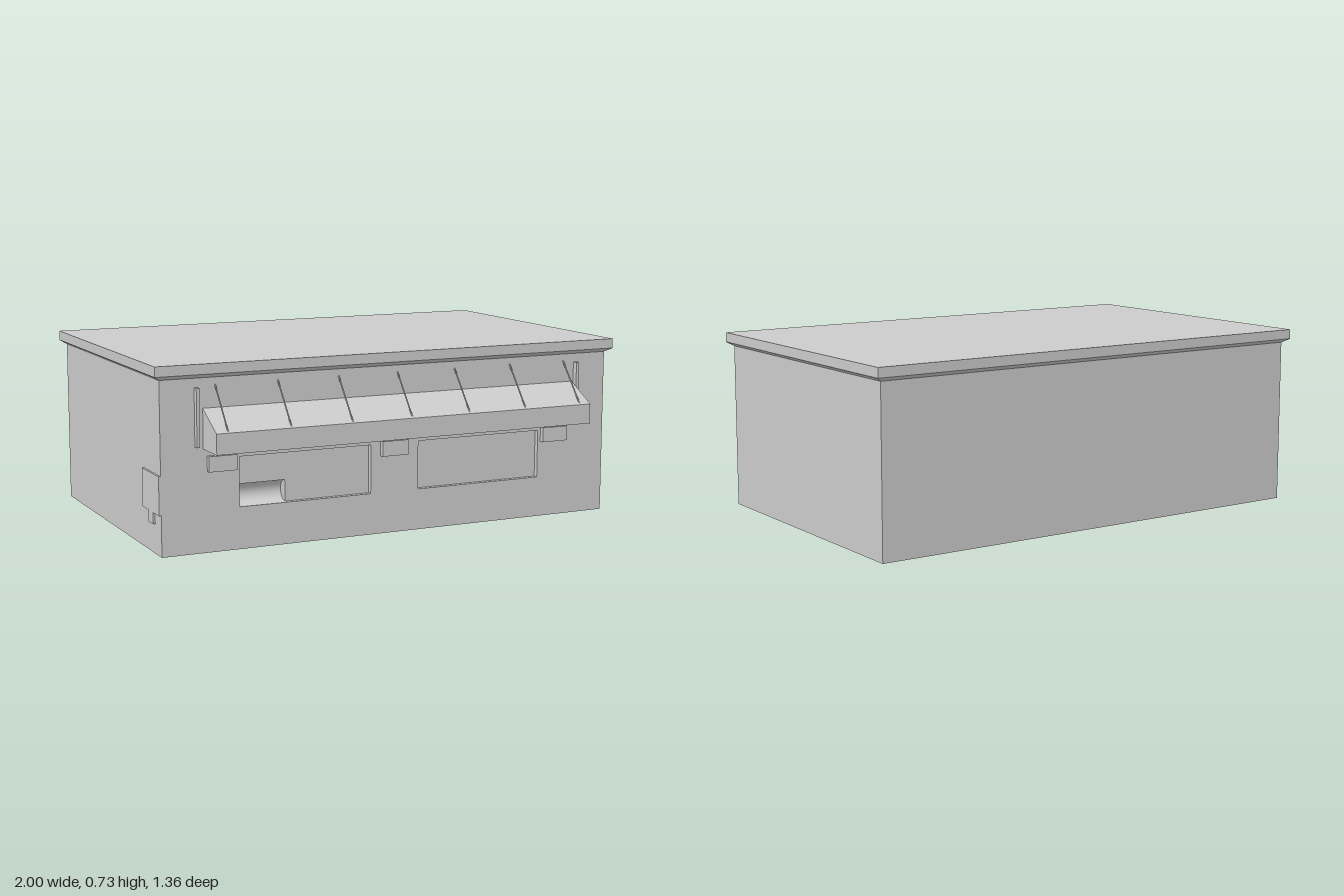
import * as THREE from 'three';

const material = new THREE.MeshStandardMaterial({ color: 0xcccccc, flatShading: true, side: THREE.DoubleSide });
const smooth = new THREE.MeshStandardMaterial({ color: 0xcccccc, side: THREE.DoubleSide });

// Main dimensions
const X = 0.975, BACK = -0.655, FRONT = 0.54, WALL_TOP = 0.67;
const RECESS = 0.02, SILL = 0.165, LINTEL = 0.36;

export function createModel() {
  const model = new THREE.Group();

  const add = (parent, name, geometry, mat = material) => {
    const mesh = new THREE.Mesh(geometry, mat);
    mesh.name = name;
    parent.add(mesh);
    return mesh;
  };

  // Box given by its limits on each axis
  const box = (parent, name, x0, x1, y0, y1, z0, z1) => {
    const mesh = add(parent, name, new THREE.BoxGeometry(x1 - x0, y1 - y0, z1 - z0));
    mesh.position.set((x0 + x1) / 2, (y0 + y1) / 2, (z0 + z1) / 2);
    return mesh;
  };

  // Open skin joining four-cornered rings
  const loft = (rings) => {
    const pos = [];
    for (let r = 0; r < rings.length - 1; r++) {
      for (let i = 0; i < 4; i++) {
        const j = (i + 1) % 4;
        const [a, b, c, d] = [rings[r][i], rings[r][j], rings[r + 1][j], rings[r + 1][i]];
        pos.push(...a, ...b, ...c, ...a, ...c, ...d);
      }
    }
    const g = new THREE.BufferGeometry();
    g.setAttribute('position', new THREE.Float32BufferAttribute(pos, 3));
    g.computeVertexNormals();
    return g;
  };

  const polygon = (points) => new THREE.Shape(points.map(([x, y]) => new THREE.Vector2(x, y)));
  const rect = (x0, x1, y0, y1) => [[x0, y0], [x1, y0], [x1, y1], [x0, y1]];

  // Hollow walls, open underneath
  const walls = new THREE.Group();
  walls.name = 'walls';
  model.add(walls);
  const depth = FRONT - BACK;
  for (const s of [-1, 1]) {
    const side = add(walls, s > 0 ? 'leftWall' : 'rightWall', new THREE.PlaneGeometry(depth, WALL_TOP));
    side.rotation.y = s * Math.PI / 2;
    side.position.set(s * X, WALL_TOP / 2, (FRONT + BACK) / 2);
  }
  const back = add(walls, 'backWall', new THREE.PlaneGeometry(2 * X, WALL_TOP));
  back.rotation.y = Math.PI;
  back.position.set(0, WALL_TOP / 2, BACK);

  // Front wall with two window openings
  const windows = [[-0.66, -0.105], [0.105, 0.66]];
  const frontShape = polygon(rect(-X, X, 0, WALL_TOP));
  for (const [a, b] of windows) frontShape.holes.push(polygon(rect(a, b, SILL, LINTEL)));
  add(walls, 'frontWall', new THREE.ShapeGeometry(frontShape)).position.z = FRONT;

  // Recessed panes; the right-hand one is notched for the tray
  const trayEnd = -0.465, trayTop = 0.25;
  windows.forEach(([a, b], i) => {
    const ring = (z) => rect(a, b, SILL, LINTEL).map(([x, y]) => [x, y, z]);
    add(model, 'windowReveal', loft([ring(FRONT), ring(FRONT - RECESS)]));
    const outline = i === 0
      ? [[trayEnd, SILL], [b, SILL], [b, LINTEL], [a, LINTEL], [a, trayTop], [trayEnd, trayTop]]
      : rect(a, b, SILL, LINTEL);
    add(model, 'windowPane', new THREE.ShapeGeometry(polygon(outline))).position.z = FRONT - RECESS;
  });

  // Curved tray set into the window
  const tray = new THREE.Group();
  tray.name = 'tray';
  const radius = (trayTop - SILL) / 2, trayWidth = trayEnd + 0.66;
  const scoop = add(tray, 'trayScoop',
    new THREE.CylinderGeometry(radius, radius, trayWidth, 20, 1, true, Math.PI / 2, Math.PI), smooth);
  scoop.rotation.z = Math.PI / 2;
  for (const s of [-1, 1]) {
    const end = add(tray, 'trayEnd', new THREE.CircleGeometry(radius, 20, Math.PI / 2, Math.PI));
    end.rotation.y = -Math.PI / 2;
    end.scale.x = -1;
    end.rotation.y = Math.PI / 2;
    end.scale.x = 1;
    end.position.x = s * trayWidth / 2;
    end.rotation.y = -Math.PI / 2;
  }
  tray.position.set(-0.66 + trayWidth / 2, SILL + radius, FRONT - RECESS);
  model.add(tray);

  // Roof: flared eave, fascia and flat top
  const roofRing = (o, y) => [
    [-X - o, y, FRONT + o], [X + o, y, FRONT + o], [X + o, y, BACK - o], [-X - o, y, BACK - o]];
  add(model, 'roofEdge', loft([
    roofRing(0, WALL_TOP), roofRing(0.022, 0.683), roofRing(0.025, 0.686), roofRing(0.025, 0.725)]));
  const top = add(model, 'roofTop', new THREE.PlaneGeometry(2 * X + 0.05, depth + 0.05));
  top.rotation.x = -Math.PI / 2;
  top.position.set(0, 0.725, (FRONT + BACK) / 2);

  // Awning: wedge section swept along x
  const awning = add(model, 'awning', new THREE.ExtrudeGeometry(
    polygon([[-FRONT, 0.4], [-FRONT, 0.555], [-0.68, 0.48], [-0.68, 0.4]]),
    { depth: 1.625, bevelEnabled: false }));
  awning.rotation.y = Math.PI / 2;
  awning.position.x = -0.805;

  // Stay rods from the wall to the awning lip
  const low = new THREE.Vector3(0, 0.48, 0.672), high = new THREE.Vector3(0, 0.642, FRONT);
  const run = high.clone().sub(low);
  for (let i = 0; i < 7; i++) {
    const rod = add(model, 'stayRod', new THREE.CylinderGeometry(0.003, 0.003, run.length(), 8), smooth);
    rod.quaternion.setFromUnitVectors(new THREE.Vector3(0, 1, 0), run.clone().normalize());
    rod.position.copy(low).addScaledVector(run, 0.5);
    rod.position.x = -0.755 + i * 0.255;
  }

  // Upright rails beside the awning
  for (const x of [-0.832, 0.832]) box(model, 'rail', x - 0.006, x + 0.006, 0.41, 0.635, FRONT, 0.563);

  // Small wall boxes beside the windows
  for (const x of [-0.733, -0.005, 0.73]) box(model, 'wallBox', x - 0.057, x + 0.057, 0.313, 0.373, FRONT, 0.56);

  // Meter box and its foot on the right wall
  box(model, 'meterBox', -X - 0.008, -X, 0.16, 0.31, 0.35, FRONT);
  box(model, 'meterFoot', -X - 0.008, -X, 0.115, 0.16, 0.416, 0.47);

  // Centre on z
  model.position.z = 0;
  return model;
}
